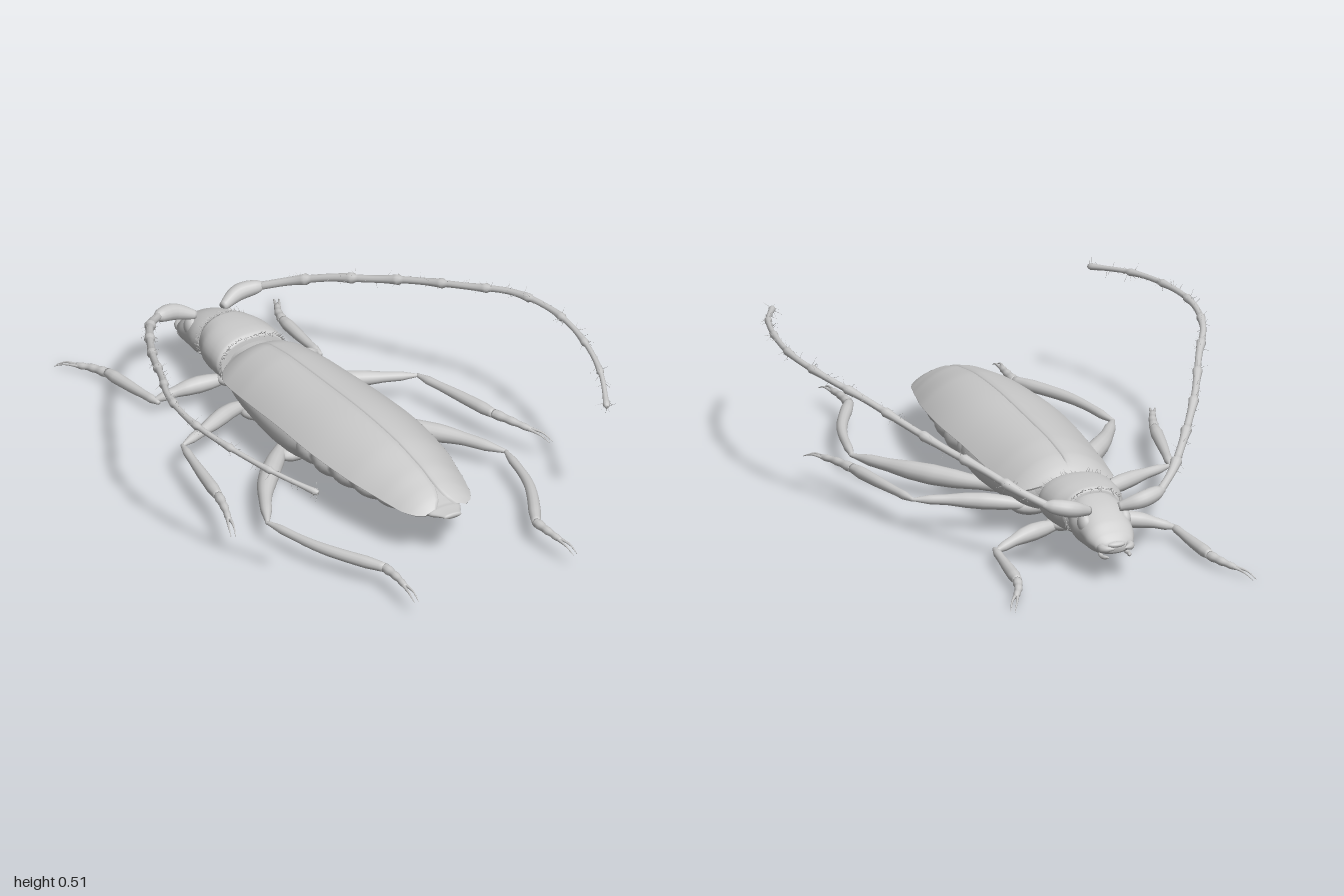
import * as THREE from 'three';
import { mergeGeometries } from 'three/addons/utils/BufferGeometryUtils.js';

const grey = new THREE.MeshStandardMaterial({ color: 0xcccccc, side: THREE.DoubleSide });
const V = (x, y, z) => new THREE.Vector3(x, y, z);

let seed = 7;
const rand = () => (seed = (seed * 16807) % 2147483647) / 2147483647;

function add(parent, name, geometry) {
  const mesh = new THREE.Mesh(geometry, grey);
  mesh.name = name;
  parent.add(mesh);
  return mesh;
}

// Joins rings of points into a smooth skin; closed rings get end caps
function skin(rings, closed = true) {
  const n = rings[0].length, pts = rings.flat(), idx = [];
  for (let i = 0; i < rings.length - 1; i++) {
    for (let j = 0; j < (closed ? n : n - 1); j++) {
      const a = i * n + j, b = i * n + (j + 1) % n;
      idx.push(a, b, a + n, b, b + n, a + n);
    }
  }
  if (closed) {
    for (const end of [0, rings.length - 1]) {
      const c = pts.length, mid = V(0, 0, 0);
      rings[end].forEach(p => mid.addScaledVector(p, 1 / n));
      pts.push(mid);
      for (let j = 0; j < n; j++) {
        const a = end * n + j, b = end * n + (j + 1) % n;
        idx.push(...(end ? [c, a, b] : [c, b, a]));
      }
    }
  }
  const g = new THREE.BufferGeometry().setFromPoints(pts);
  g.setIndex(idx);
  g.computeVertexNormals();
  return g;
}

// Value of a table of rows at z (first column), smoothly interpolated
function sample(rows, z) {
  let i = 0;
  while (i < rows.length - 2 && z > rows[i + 1][0]) i++;
  const f = THREE.MathUtils.clamp((z - rows[i][0]) / (rows[i + 1][0] - rows[i][0]), 0, 1);
  const at = k => rows[Math.min(Math.max(k, 0), rows.length - 1)];
  return rows[i].map((p, c) => {
    const q = at(i + 1)[c], m0 = (q - at(i - 1)[c]) / 2, m1 = (at(i + 2)[c] - p) / 2;
    return p + f * (m0 + f * (3 * (q - p) - 2 * m0 - m1 + f * (2 * (p - q) + m0 + m1)));
  });
}

// Oval body skin from rows [z, top, bottom, half width]
function bodySkin(rows, steps = 40, scale = () => 1) {
  const rings = [], z0 = rows[0][0], z1 = rows[rows.length - 1][0];
  for (let i = 0; i <= steps; i++) {
    const z = z0 + (z1 - z0) * i / steps, [, t, b, w] = sample(rows, z), k = scale(z);
    rings.push(Array.from({ length: 36 }, (_, j) => {
      const a = j / 36 * Math.PI * 2, c = Math.cos(a), s = Math.sin(a);
      return V(w * k * Math.sign(c) * Math.abs(c) ** 0.85, (t + b) / 2 + (t - b) / 2 * k * s, z);
    }));
  }
  return skin(rings);
}

// Round limb along a path, radius(u) from base to tip
function limb(path, radius, steps = 24, sides = 10) {
  const curve = new THREE.CatmullRomCurve3(path), f = curve.computeFrenetFrames(steps);
  const rings = [];
  for (let i = 0; i <= steps; i++) {
    const p = curve.getPointAt(i / steps), r = radius(i / steps);
    rings.push(Array.from({ length: sides }, (_, j) => {
      const a = j / sides * Math.PI * 2;
      return p.clone().addScaledVector(f.normals[i], r * Math.cos(a)).addScaledVector(f.binormals[i], r * Math.sin(a));
    }));
  }
  return skin(rings);
}
const radii = list => u => {
  const x = u * (list.length - 1), i = Math.min(Math.floor(x), list.length - 2);
  return THREE.MathUtils.lerp(list[i], list[i + 1], x - i);
};

function ellipsoid(parent, name, pos, size, yaw = 0) {
  const m = add(parent, name, new THREE.SphereGeometry(1, 20, 14));
  m.position.copy(pos);
  m.scale.set(...size);
  m.rotation.y = yaw;
}

// Thin bristle cone
function bristle(pos, dir, length, r) {
  const q = new THREE.Quaternion().setFromUnitVectors(V(0, 1, 0), dir.clone().normalize());
  return new THREE.ConeGeometry(r, length, 3, 1, true).translate(0, length / 2, 0).applyQuaternion(q).translate(pos.x, pos.y, pos.z);
}

// Hairy fringe round a collar
function fringe(parent, name, z, top, bottom, w, lean) {
  const hairs = [];
  for (let i = 0; i < 110; i++) {
    const a = i / 110 * Math.PI * 2, c = Math.cos(a), s = Math.sin(a);
    const p = V(w * Math.sign(c) * Math.abs(c) ** 0.85, (top + bottom) / 2 + (top - bottom) / 2 * s, z);
    hairs.push(bristle(p, V(c * 0.15 + rand() - 0.5, s * 0.15 + rand() - 0.5, lean), 0.012 + 0.01 * rand(), 0.002));
  }
  add(parent, name, mergeGeometries(hairs));
}

// Wing cover rows: z, inner x, outer x, crest y, edge y
const COVER = [
  [-0.445, 0.0, 0.1, 0.212, 0.19], [-0.42, 0.0, 0.145, 0.235, 0.172], [-0.37, 0.0, 0.172, 0.255, 0.165],
  [-0.25, 0.0, 0.185, 0.27, 0.172], [0, 0.0, 0.196, 0.277, 0.186], [0.2, 0.0, 0.2, 0.279, 0.186],
  [0.4, 0.0, 0.182, 0.267, 0.178], [0.55, 0.0, 0.15, 0.24, 0.166], [0.63, 0.002, 0.128, 0.214, 0.158],
  [0.67, 0.014, 0.105, 0.194, 0.156], [0.69, 0.035, 0.075, 0.174, 0.156]];

function wingCover(s) {
  const rings = [];
  for (let i = 0; i <= 60; i++) {
    const z = -0.445 + 1.135 * i / 60, [, inner, xo, top, edge] = sample(COVER, z), xi = Math.max(0, inner);
    const arch = x => edge + (top - edge) * (1 - (x / xo) ** 2.15);
    // Narrow seam groove, fading out at the shoulders
    const groove = z > -0.39 ? 0.008 : 0;
    const ring = [V(s * xi, arch(xi) - groove, z)];
    for (let j = 0; j <= 16; j++) {
      const x = xi + 0.004 + (xo - xi - 0.004) * Math.sin(j / 16 * Math.PI / 2);
      ring.push(V(s * x, arch(x), z));
    }
    ring.push(V(s * xo * 0.95, edge - 0.004, z));
    rings.push(s > 0 ? ring.reverse() : ring);
  }
  return skin(rings, false);
}

// Leg paths for thigh, shin and foot, with thigh radius
const LEGS = {
  front: { femur: [[0.05, 0.085, -0.51], [0.2, 0.07, -0.545], [0.31, 0.04, -0.575]],
    tibia: [[0.3, 0.042, -0.55], [0.312, 0.035, -0.69], [0.325, 0.032, -0.82]],
    foot: [[0.325, 0.03, -0.82], [0.345, 0.026, -0.88], [0.372, 0.02, -0.93]], r: 0.028 },
  middle: { femur: [[0.07, 0.08, -0.335], [0.18, 0.098, -0.305], [0.31, 0.102, -0.243], [0.44, 0.1, -0.185]],
    tibia: [[0.435, 0.1, -0.19], [0.472, 0.1, -0.03], [0.51, 0.1, 0.15]],
    foot: [[0.51, 0.1, 0.15], [0.535, 0.1, 0.23], [0.56, 0.096, 0.295]], r: 0.027 },
  hind: { femur: [[0.1, 0.07, -0.1], [0.2, 0.072, -0.005], [0.335, 0.075, 0.15], [0.445, 0.07, 0.34]],
    tibia: [[0.442, 0.07, 0.33], [0.388, 0.073, 0.56], [0.28, 0.072, 0.78]],
    foot: [[0.28, 0.072, 0.78], [0.281, 0.073, 0.85], [0.287, 0.07, 0.915]], r: 0.033 } };

function leg(parent, name, s, { femur, tibia, foot, r }) {
  const g = new THREE.Group();
  g.name = name;
  parent.add(g);
  const pts = list => list.map(p => V(s * p[0], p[1], p[2]));
  add(g, 'femur', limb(pts(femur), radii([r * 0.6, r * 0.65, r * 0.9, r, r * 0.9, r * 0.65, r * 0.55, r * 0.15]), 28, 14));
  add(g, 'tibia', limb(pts(tibia), radii([0.006, 0.014, 0.014, 0.016, 0.018, 0.019, 0.02, 0.015]), 28, 12));
  add(g, 'tarsus', limb(pts(foot), u => 0.015 - 0.007 * u + 0.002 * Math.sin(u * 3 * Math.PI) ** 2, 24, 10));
  // Long paired claws
  const [, b, c] = pts(foot), d = c.clone().sub(b).normalize(), side = V(d.z, 0, -d.x);
  for (const k of [-1, 1]) {
    const root = c.clone().addScaledVector(d, -0.01).addScaledVector(side, 0.004 * k);
    const bend = c.clone().addScaledVector(d, 0.04).addScaledVector(side, 0.008 * k);
    const tip = c.clone().addScaledVector(d, 0.078).addScaledVector(side, 0.007 * k).add(V(0, -0.014, 0));
    add(g, 'claw', limb([root, bend, tip], u => 0.005 * (1 - u) + 0.001, 10, 6));
  }
}

function antenna(parent, s) {
  const g = new THREE.Group();
  g.name = s > 0 ? 'leftAntenna' : 'rightAntenna';
  parent.add(g);
  const P = (x, y, z) => V(s * x, y, z);
  add(g, 'scape', limb([P(0.05, 0.2, -0.735), P(0.12, 0.222, -0.755), P(0.205, 0.238, -0.73)],
    radii([0.014, 0.02, 0.025, 0.027, 0.026, 0.022, 0.008]), 20, 14));
  const path = [P(0.19, 0.235, -0.735), P(0.26, 0.268, -0.66), P(0.335, 0.31, -0.55), P(0.405, 0.342, -0.43), P(0.475, 0.378, -0.3),
    P(0.565, 0.425, -0.1), P(0.64, 0.456, 0.06), P(0.675, 0.466, 0.25), P(0.658, 0.462, 0.45), P(0.61, 0.446, 0.63), P(0.535, 0.42, 0.79)];
  const r = u => (0.0165 - 0.007 * u) * (0.8 + 0.55 * (u * 10 % 1) ** 4);
  add(g, 'flagellum', limb(path, r, 140, 10));
  // Bristles gather towards each joint
  const curve = new THREE.CatmullRomCurve3(path), hairs = [];
  for (let i = 0; i < 140; i++) {
    const u = Math.min(1, (Math.floor(i / 14) + 1 - rand() ** 2 * 0.8) / 10);
    const dir = V(rand() - 0.5, rand() - 0.5, rand() - 0.5).normalize();
    hairs.push(bristle(curve.getPointAt(u), dir.addScaledVector(curve.getTangentAt(u), 0.3), 0.028 + 0.014 * rand(), 0.0014));
  }
  add(g, 'bristles', mergeGeometries(hairs));
}

export function createModel() {
  const beetle = new THREE.Group();
  beetle.name = 'longhornBeetle';

  // Head, pronotum, neck and hind thorax
  add(beetle, 'head', bodySkin([[-0.845, 0.125, 0.092, 0.035], [-0.83, 0.145, 0.082, 0.062], [-0.79, 0.178, 0.072, 0.08],
    [-0.74, 0.203, 0.068, 0.086], [-0.69, 0.217, 0.07, 0.095], [-0.64, 0.224, 0.078, 0.086], [-0.6, 0.215, 0.09, 0.075]]));
  add(beetle, 'pronotum', bodySkin([[-0.65, 0.23, 0.085, 0.088], [-0.635, 0.24, 0.078, 0.1], [-0.58, 0.244, 0.075, 0.122],
    [-0.52, 0.243, 0.073, 0.128], [-0.485, 0.238, 0.074, 0.126], [-0.47, 0.226, 0.085, 0.115]]));
  add(beetle, 'neck', bodySkin([[-0.5, 0.21, 0.09, 0.09], [-0.45, 0.215, 0.092, 0.09], [-0.4, 0.22, 0.085, 0.12]], 10));
  add(beetle, 'thorax', bodySkin([[-0.44, 0.205, 0.095, 0.095], [-0.38, 0.22, 0.078, 0.145], [-0.28, 0.23, 0.058, 0.165],
    [-0.12, 0.235, 0.04, 0.18], [0.02, 0.235, 0.043, 0.182], [0.12, 0.23, 0.065, 0.165]]));
  // Abdomen with overlapping rings
  add(beetle, 'abdomen', bodySkin([[0.02, 0.23, 0.05, 0.172], [0.2, 0.23, 0.062, 0.178], [0.35, 0.225, 0.078, 0.165],
    [0.5, 0.2, 0.096, 0.135], [0.62, 0.178, 0.118, 0.098], [0.69, 0.168, 0.136, 0.055], [0.735, 0.164, 0.148, 0.03]], 110,
    z => z > 0.68 ? 1 : 0.88 + 0.13 * Math.sin(Math.PI * ((z - 0.02) / 0.11 % 1) ** 1.3) ** 0.7));

  fringe(beetle, 'frontCollarFringe', -0.643, 0.236, 0.08, 0.095, -0.4);
  fringe(beetle, 'rearCollarFringe', -0.477, 0.232, 0.08, 0.12, 0.4);
  ellipsoid(beetle, 'upperLip', V(0, 0.118, -0.842), [0.03, 0.01, 0.015]);
  ellipsoid(beetle, 'breastplate', V(0, 0.055, -0.13), [0.07, 0.022, 0.15]);

  for (const s of [1, -1]) {
    const side = s > 0 ? 'left' : 'right';
    add(beetle, side + 'WingCover', wingCover(s));
    ellipsoid(beetle, side + 'Eye', V(s * 0.066, 0.16, -0.735), [0.022, 0.034, 0.032]);
    ellipsoid(beetle, side + 'FrontHip', V(s * 0.055, 0.088, -0.51), [0.055, 0.028, 0.042]);
    ellipsoid(beetle, side + 'MiddleHip', V(s * 0.08, 0.08, -0.3), [0.07, 0.034, 0.052]);
    ellipsoid(beetle, side + 'HindHip', V(s * 0.095, 0.07, -0.04), [0.095, 0.034, 0.052], s * -0.4);
    // Jaw and feelers
    add(beetle, side + 'Mandible', limb([V(s * 0.045, 0.108, -0.82), V(s * 0.044, 0.11, -0.85), V(s * 0.018, 0.115, -0.876)],
      radii([0.016, 0.015, 0.01, 0.002]), 14));
    add(beetle, side + 'Palp', limb([V(s * 0.04, 0.085, -0.8), V(s * 0.045, 0.08, -0.835), V(s * 0.035, 0.086, -0.868)],
      radii([0.006, 0.008, 0.006, 0.007, 0.002]), 14));
    antenna(beetle, s);
    for (const key in LEGS) leg(beetle, side + key[0].toUpperCase() + key.slice(1) + 'Leg', s, LEGS[key]);
  }
  return beetle;
}
